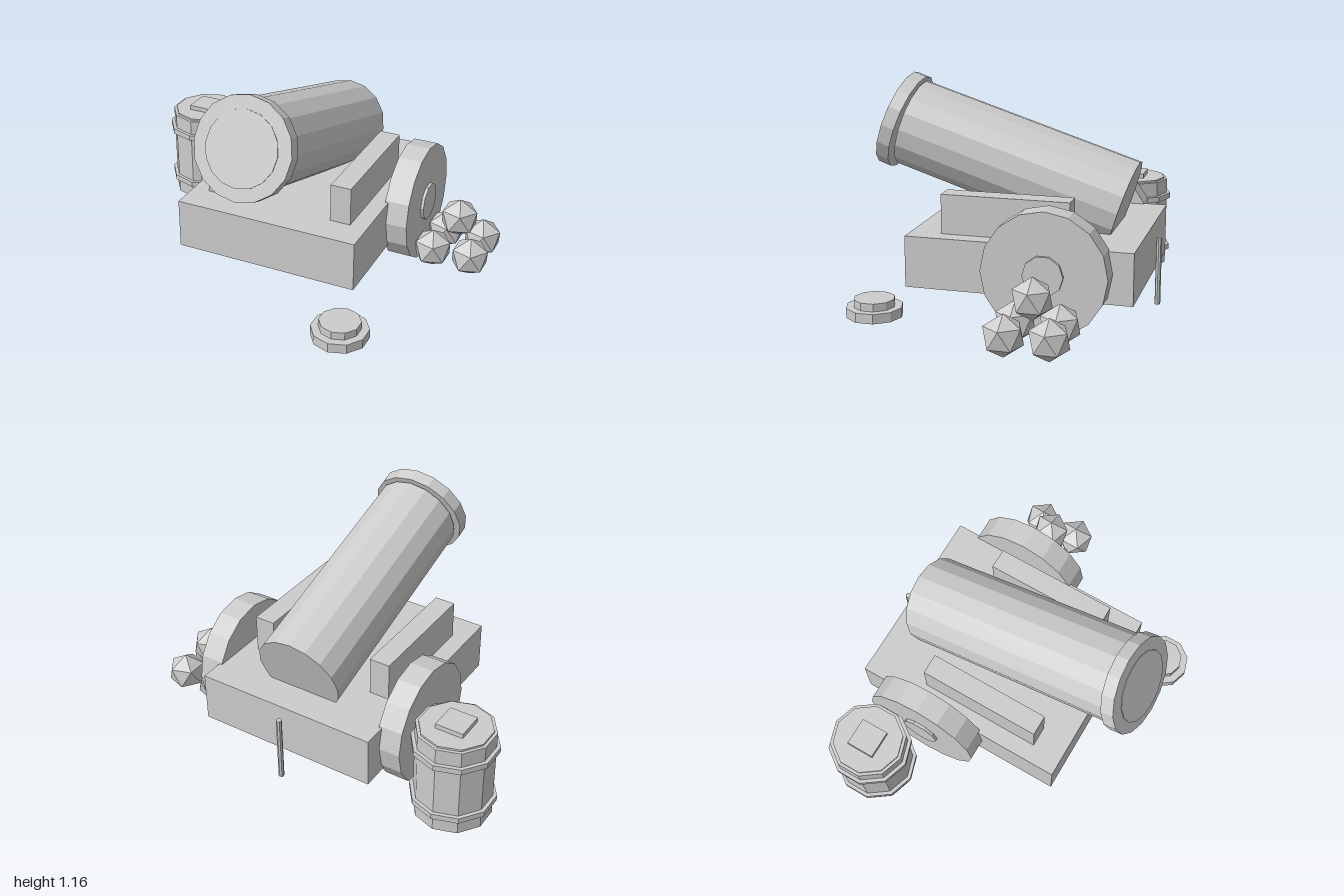
import * as THREE from 'three';

export function createModel() {
  const model = new THREE.Group();
  const grey = new THREE.MeshStandardMaterial({ color: 0xcccccc, flatShading: true });
  grey.name = 'grey';
  const midX = 0.02; // centre line of the carriage

  function add(name, geometry, x, y, z, parent = model) {
    const mesh = new THREE.Mesh(geometry, grey);
    mesh.name = name;
    mesh.position.set(x, y, z);
    parent.add(mesh);
    return mesh;
  }
  const box = (w, h, d) => new THREE.BoxGeometry(w, h, d);
  const drum = (r, h, sides) => new THREE.CylinderGeometry(r, r, h, sides);

  // Carriage bed, side rails, wheels and hubs
  add('bed', box(0.97, 0.26, 1.14), midX, 0.29, -0.13);
  for (const [side, s] of [['left', 1], ['right', -1]]) {
    add(side + 'Rail', box(0.108, 0.2, 0.65), midX + s * 0.342, 0.52, -0.045);
    const wheel = drum(0.31, 0.126, 16).rotateZ(Math.PI / 2);
    add(side + 'Wheel', wheel, midX + s * 0.532, 0.31, -0.29);
    const hub = drum(0.1, 0.05, 10).rotateZ(Math.PI / 2);
    add(side + 'Hub', hub, midX + s * 0.585, 0.31, -0.29);
  }

  // Raised barrel, muzzle ring and thin bore disc, each pitched a little differently
  function pitched(name, r, length, degrees, y, z) {
    const geometry = drum(r, length, 16);
    geometry.rotateX(Math.PI / 2 - THREE.MathUtils.degToRad(degrees));
    add(name, geometry, midX, y, z);
  }
  pitched('barrel', 0.229, 1.184, 17.9, 0.715, -0.002);
  pitched('muzzleRing', 0.254, 0.069, 20.2, 0.911, 0.61);
  pitched('boreDisc', 0.187, 0.003, 22.1, 0.925, 0.65);

  // Powder keg with hoops, lid and bung
  const keg = new THREE.Group();
  keg.name = 'keg';
  keg.position.set(-0.795, 0, -0.455);
  model.add(keg);
  add('kegBody', drum(0.196, 0.49, 10), 0, 0.245, 0, keg);
  for (const y of [0.095, 0.395]) add('kegHoop', drum(0.215, 0.03, 10), 0, y, 0, keg);
  add('kegLid', drum(0.18, 0.02, 10), 0, 0.49, 0, keg);
  add('kegBung', box(0.145, 0.04, 0.145), 0, 0.505, 0, keg);

  // Pile of faceted cannonballs, each standing on a corner
  const ball = new THREE.IcosahedronGeometry(0.105, 0);
  ball.rotateX(-Math.atan2((1 + Math.sqrt(5)) / 2, 1)).rotateY(Math.PI / 2);
  for (const x of [0.697, 0.9])
    for (const z of [-0.395, -0.18]) add('cannonball', ball, x, 0.107, z);
  add('topCannonball', ball, 0.798, 0.258, -0.288);

  // Stepped cap on the ground
  add('capBase', drum(0.145, 0.05, 10), 0.51, 0.025, 0.605);
  add('capTop', drum(0.105, 0.04, 10), 0.51, 0.07, 0.605);

  // Upright fuse rod behind the carriage
  add('fuseRod', drum(0.0145, 0.35, 8), midX, 0.195, -0.74);

  return model;
}
